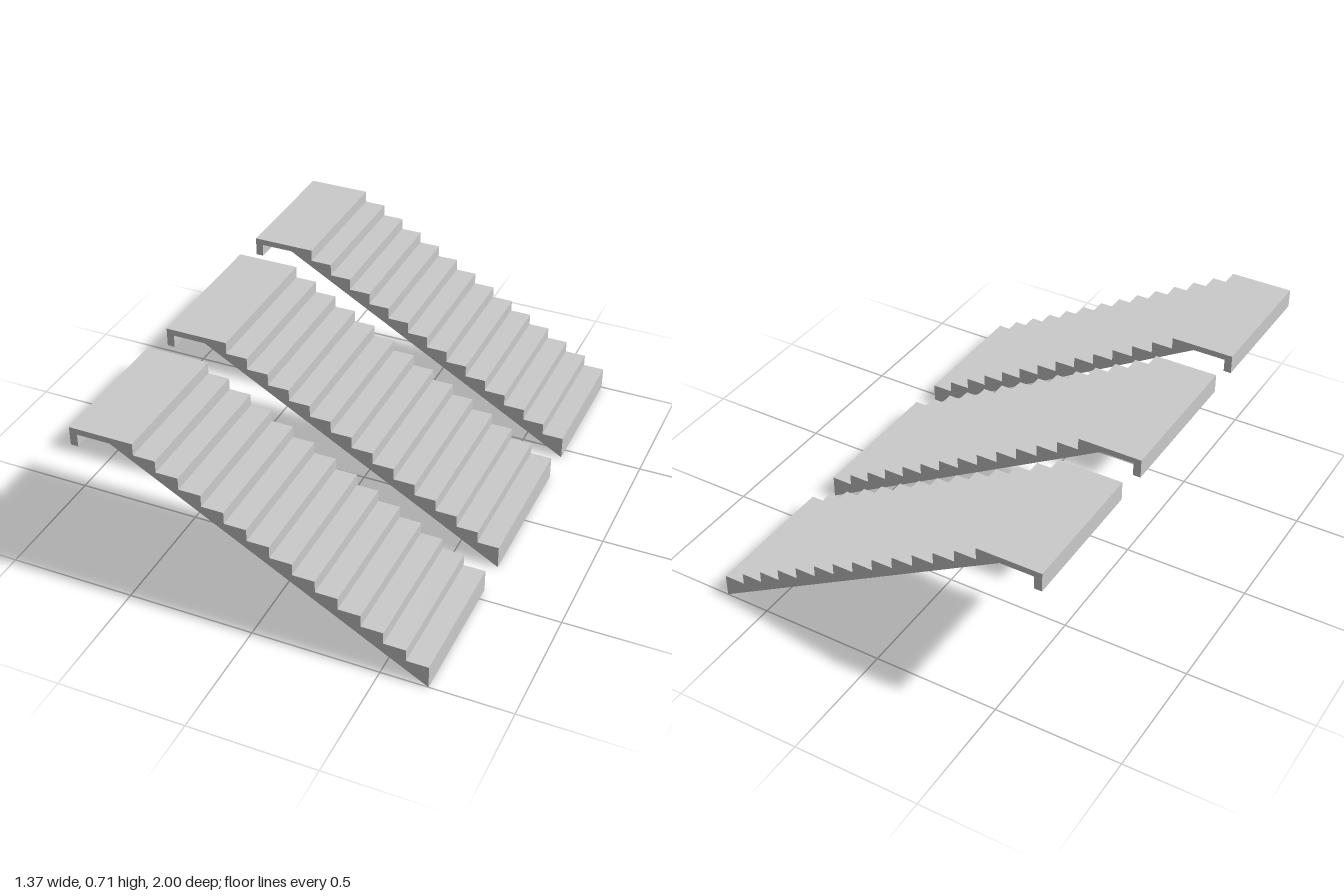
import * as THREE from 'three';

const STEPS = 13, FRONT = 0.683, RUN = 0.0857, FIRST = 0.092, RISE = 0.0477;

// Side profile of a flight: stepped top, landing with a lip, sloping underside
function flightProfile() {
  const points = [[FRONT, 0]];
  for (let i = 0; i <= STEPS; i++) {
    const x = FRONT - i * RUN, top = FIRST + i * RISE;
    if (i > 0) points.push([x, top - RISE]);
    points.push([x, top]);
  }
  const landing = FIRST + STEPS * RISE;
  points.push([-FRONT, landing], [-FRONT, 0.637], [-0.653, 0.637], [-0.653, 0.688], [-0.522, 0.688]);
  return new THREE.Shape(points.map(([x, y]) => new THREE.Vector2(x, y)));
}

export function createModel() {
  const group = new THREE.Group();
  const material = new THREE.MeshStandardMaterial({ color: 0xcccccc, flatShading: true });
  const profile = flightProfile();

  // Three parallel flights; the middle one is slightly wider
  const flights = [
    ['rightStairFlight', -1, -0.447],
    ['middleStairFlight', -0.305, 0.305],
    ['leftStairFlight', 0.447, 1],
  ];
  for (const [name, zMin, zMax] of flights) {
    const geometry = new THREE.ExtrudeGeometry(profile, { depth: zMax - zMin, bevelEnabled: false });
    const flight = new THREE.Mesh(geometry, material);
    flight.name = name;
    flight.position.z = zMin;
    group.add(flight);
  }
  return group;
}
